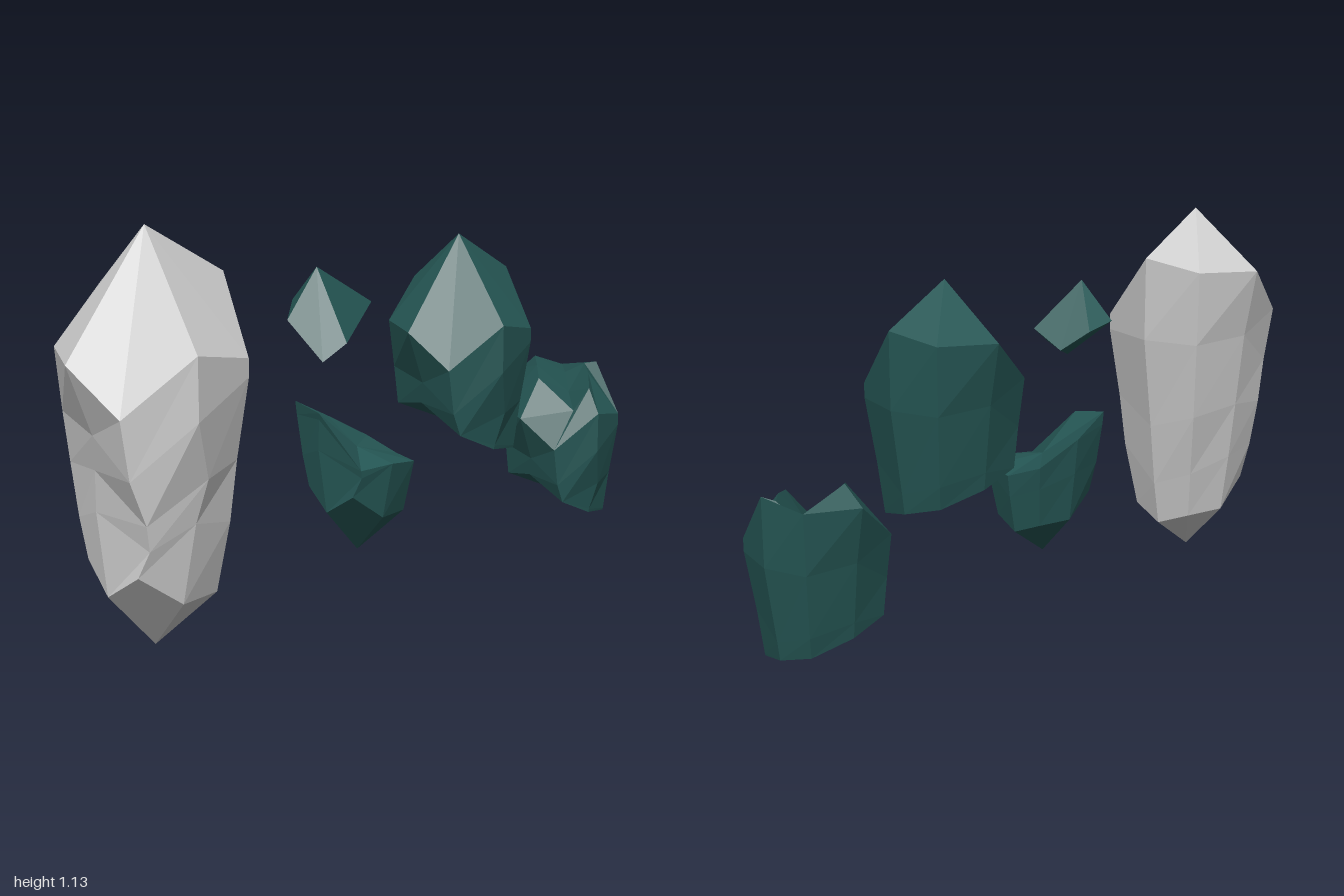
import * as THREE from 'three';
import { ConvexGeometry } from 'three/addons/geometries/ConvexGeometry.js';

const V = (x, y, z) => new THREE.Vector3(x, y, z);

// Eight edges of a crystal, shoulder to base, starting at the front and turning towards +x
const EDGES = [
  [[0, .79, .24], [0, .6, .17], [-.03, .5, .15], [-.04, .385, .145], [0, .16, .14]],
  [[.145, .66, .17], [.15, .5, .15], [.16, .38, .11], [.155, .31, .1], [.135, .24, .125]],
  [[.245, .82, 0], [.245, .65, 0], [.205, .49, -.05], [.18, .37, -.025], [.15, .15, 0]],
  [[.19, .79, -.19], [.19, .74, -.19], [.165, .52, -.165], [.15, .35, -.15], [.11, .15, -.13]],
  [[0, 1, -.24], [0, .74, -.24], [0, .45, -.2], [0, .25, -.175], [0, .11, -.15]],
  [[-.18, .97, -.2], [-.17, .74, -.19], [-.15, .5, -.17], [-.12, .3, -.14], [-.1, .15, -.12]],
  [[-.25, .96, 0], [-.21, .75, 0], [-.185, .52, 0], [-.165, .34, 0], [-.14, .155, 0]],
  [[-.195, .81, .17], [-.17, .64, .165], [-.165, .5, .15], [-.145, .35, .14], [-.12, .235, .13]],
].map(e => e.map(p => V(...p)));
const APEX = V(0, 1.135, 0);

// Heights of the break that cuts off a crystal's foot, per edge
const FOOT_BREAK = [.52, .42, .355, .34, .38, .42, .46, .5];

// Point on an edge at height y
function edgeAt(edge, y) {
  for (let i = 0; i < edge.length - 1; i++) {
    const a = edge[i], b = edge[i + 1];
    if (y >= b.y) return a.clone().lerp(b, Math.min(1, Math.max(0, (a.y - y) / (a.y - b.y))));
  }
  return edge[edge.length - 1].clone();
}

// Rings from base to shoulder, cut per edge between lo and hi, then scaled and placed
function crystalRings(scale, pos, lo, hi) {
  return [4, 3, 2, 1, 0].map(level => EDGES.map((edge, k) => {
    let y = edge[level].y;
    if (lo) y = Math.max(y, lo[k]);
    if (hi) y = Math.min(y, (hi[k] - pos.y) / scale);
    return edgeAt(edge, y).multiplyScalar(scale).add(pos);
  }));
}

const centre = ring => ring.reduce((s, p) => s.add(p), V(0, 0, 0)).divideScalar(ring.length);

// Faceted skin through the rings, closed by a point at each end
function loft(rings, bottom, top) {
  const tris = [];
  const n = rings[0].length;
  const add = (a, b, c) => {
    const area = b.clone().sub(a).cross(c.clone().sub(a)).length();
    if (area > 1e-7) tris.push(a, b, c);
  };
  for (let k = 0; k < n; k++) {
    const j = (k + 1) % n;
    add(rings[0][j], rings[0][k], bottom);
    for (let r = 0; r < rings.length - 1; r++) {
      add(rings[r][k], rings[r][j], rings[r + 1][j]);
      add(rings[r][k], rings[r + 1][j], rings[r + 1][k]);
    }
    const last = rings[rings.length - 1];
    add(last[k], last[j], top);
  }
  const g = new THREE.BufferGeometry().setFromPoints(tris);
  g.computeVertexNormals();
  return g;
}

export function createModel() {
  const group = new THREE.Group();
  const grey = new THREE.MeshStandardMaterial({ color: 0xcccccc, flatShading: true });
  const teal = new THREE.MeshStandardMaterial({ color: 0x255654, flatShading: true });
  const add = (name, geometry, material) => {
    const mesh = new THREE.Mesh(geometry, material);
    mesh.name = name;
    group.add(mesh);
  };

  // Whole crystal, pointed at both ends
  const p0 = V(0, 0, .76);
  add('wholeCrystal', loft(crystalRings(1, p0), p0, APEX.clone().add(p0)), grey);

  // Large crystal with its foot broken off
  const p1 = V(-.035, .107, -.36);
  const upper = crystalRings(.835, p1, FOOT_BREAK);
  add('largeUpperCrystal',
    loft(upper, centre(upper[0]), APEX.clone().multiplyScalar(.835).add(p1)), teal);

  // Rear crystal: broken foot, and a diagonal groove splitting its top
  const rear = crystalRings(.73, V(-.05, -.137, -.825), FOOT_BREAK);
  rear.push([
    V(-.05, .565, -.73), V(.07, .47, -.77), V(.085, .54, -.825), V(0, .57, -.91),
    V(-.085, .585, -.98), V(-.165, .545, -.97), V(-.17, .615, -.83), V(-.115, .595, -.785),
  ]);
  add('splitRearCrystal', loft(rear, centre(rear[0]), V(-.05, .505, -.87)), teal);

  // Pointed lower chunk with a sloping, slightly hollow break on top
  const p3 = V(.02, .15, .08);
  const foot = crystalRings(.8, p3, null, [.57, .42, .43, .42, .42, .46, .53, .59]);
  add('lowerChunk', loft(foot, p3, V(.02, .46, .08)), teal);

  // Small shard split from a tip
  add('tipShard', new ConvexGeometry([
    V(-.05, .985, .17), V(-.05, .84, .275), V(.07, .73, .24), V(.09, .78, .17),
    V(-.05, .87, -.03), V(-.15, .82, -.025), V(-.165, .86, .08), V(-.17, .88, .17),
  ]), teal);

  return group;
}
